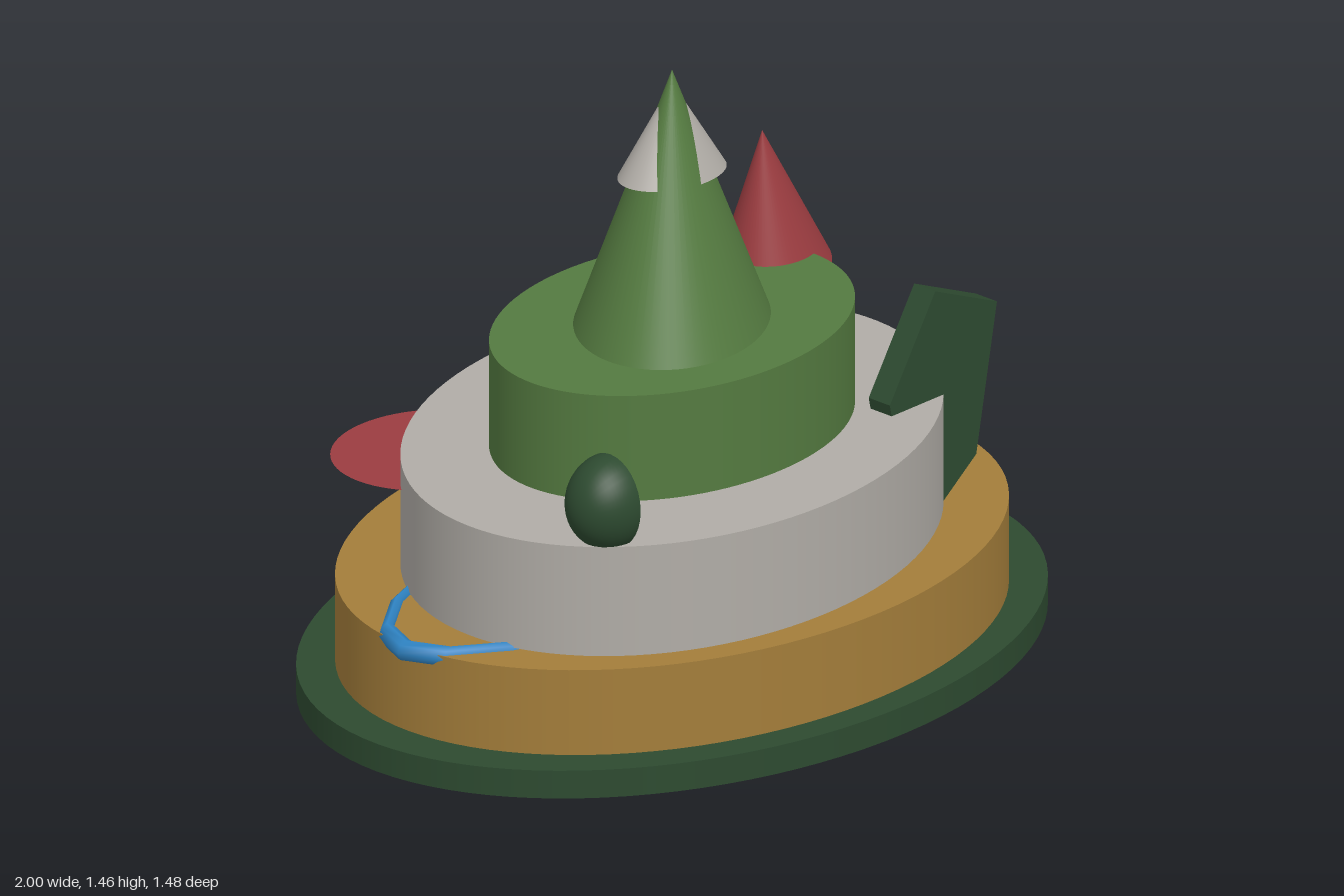
import * as THREE from 'three';

const material = (name, color, side = THREE.FrontSide) => {
  const m = new THREE.MeshStandardMaterial({ color, side });
  m.name = name;
  return m;
};

export function createModel() {
  const root = new THREE.Group();
  const darkGreen = material('dark green', 0x2d4a30, THREE.DoubleSide);
  const tan = material('ochre', 0xa37d3a);
  const stone = material('pale stone', 0xb0aca6);
  const green = material('grass green', 0x547a40);
  const red = material('brick red', 0x9b3c40, THREE.DoubleSide);
  const blue = material('water blue', 0x2f84c4);

  const add = (name, geometry, mat, x = 0, y = 0, z = 0) => {
    const mesh = new THREE.Mesh(geometry, mat);
    mesh.name = name;
    mesh.position.set(x, y, z);
    root.add(mesh);
    return mesh;
  };

  // Oval tier between two heights, turned about y
  const tier = (name, mat, rx, rz, y0, y1, turn = 0) => {
    const mesh = add(name, new THREE.CylinderGeometry(1, 1, y1 - y0, 96), mat, 0, (y0 + y1) / 2, 0);
    mesh.scale.set(rx, 1, rz);
    mesh.rotation.y = turn;
  };
  tier('basePlate', darkGreen, 1, 0.74, 0, 0.07);
  tier('lowerTier', tan, 0.895, 0.665, 0.07, 0.284);
  tier('middleTier', stone, 0.771, 0.575, 0.29, 0.565, 0.23);
  tier('upperTier', green, 0.501, 0.372, 0.565, 0.83, 0.1);

  // Oval cone from the centre of its base to its tip
  const cone = (name, mat, rx, rz, base, tip, turn) => {
    const a = new THREE.Vector3(...base), b = new THREE.Vector3(...tip);
    const axis = b.clone().sub(a), h = axis.length();
    const mesh = add(name, new THREE.ConeGeometry(1, h, 64), mat);
    mesh.position.copy(a).add(b).multiplyScalar(0.5);
    mesh.scale.set(rx, 1, rz);
    const up = new THREE.Vector3(0, 1, 0);
    mesh.quaternion.setFromUnitVectors(up, axis.normalize())
      .multiply(new THREE.Quaternion().setFromAxisAngle(up, turn));
  };
  cone('peak', green, 0.308, 0.226, [0, 0.83, 0], [0, 1.457, 0], 0.57);
  cone('snowCap', stone, 0.143, 0.102, [0, 1.2, 0], [0, 1.425, 0], -0.1);
  cone('redCone', red, 0.168, 0.133, [0.48, 0.768, -0.128], [0.426, 1.137, -0.113], 0.43);

  // Lobed ball beside the red cone
  const ball = new THREE.SphereGeometry(0.088, 72, 24);
  const p = ball.attributes.position;
  for (let i = 0; i < p.count; i++) {
    const a = Math.atan2(p.getZ(i), p.getX(i));
    const k = 0.92 + 0.08 * Math.abs(Math.cos(a * 4.5));
    p.setXYZ(i, p.getX(i) * k, p.getY(i) * 0.95, p.getZ(i) * k);
  }
  ball.computeVertexNormals();
  add('lobedBall', ball, red, 0.632, 0.763, -0.275);

  // Thin disc sticking out of the back of the middle tier
  const disc = add('backDisc', new THREE.CircleGeometry(1, 64), red, -0.385, 0.5, -0.4);
  disc.scale.set(0.25, 0.225, 1);
  disc.rotation.x = -Math.PI / 2;

  // Stretched ring that shows at both ends
  const ring = new THREE.TorusGeometry(0.903, 0.026, 8, 20).rotateX(Math.PI / 2);
  add('waterRing', ring, blue, 0, 0.275, 0).scale.z = 0.36;

  // Open half dome facing left of the front view
  const dome = new THREE.SphereGeometry(1, 32, 16, 0, Math.PI * 2, 0, Math.PI / 2);
  dome.rotateZ(Math.PI / 2);
  add('halfDome', dome, darkGreen, -0.58, 0.655, 0.347).scale.set(0.115, 0.116, 0.097);

  // Upright five-sided slab
  const outline = [[0.37, 0.594], [0.45, 0.22], [0.663, 0.38], [0.733, 0.743], [0.524, 0.834]];
  const shape = new THREE.Shape(outline.map(([x, y]) => new THREE.Vector2(x, y)));
  const slab = new THREE.ExtrudeGeometry(shape, { depth: 0.067, bevelEnabled: false });
  add('slab', slab, darkGreen, 0, 0, 0.278);

  return root;
}
